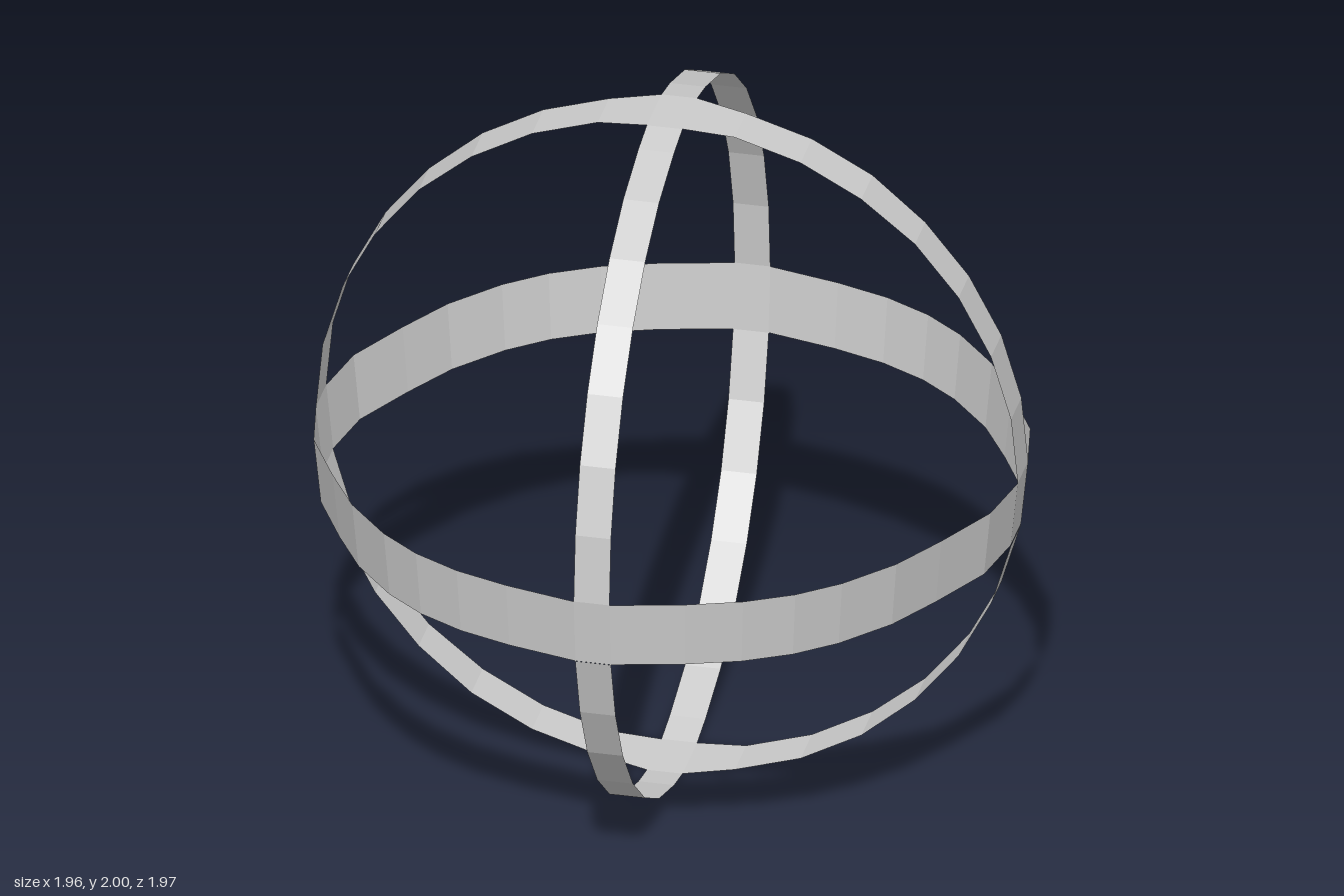
import * as THREE from 'three';

const material = new THREE.MeshStandardMaterial({ color: 0xcccccc, flatShading: true, side: THREE.DoubleSide });
const HALF_X = 0.05;   // half width of the front-to-back hoop
const POLE_Z = 0.09;   // half width of the side-to-side hoop at the poles

// Faceted ribbon through successive [a, b] edge point pairs
function ribbon(name, pairs) {
  const positions = [];
  for (let i = 0; i < pairs.length - 1; i++) {
    const [a0, b0] = pairs[i], [a1, b1] = pairs[i + 1];
    positions.push(...a0, ...b0, ...a1, ...b0, ...b1, ...a1);
  }
  const geometry = new THREE.BufferGeometry();
  geometry.setAttribute('position', new THREE.Float32BufferAttribute(positions, 3));
  geometry.computeVertexNormals();
  const mesh = new THREE.Mesh(geometry, material);
  mesh.name = name;
  return mesh;
}

// Horizontal band: one quarter outline mirrored to a closed loop, narrower at the bottom
function equatorBand() {
  const quarter = [[0.05, 0.987], [0.25, 0.938], [0.4, 0.886], [0.53, 0.815], [0.64, 0.725],
    [0.76, 0.585], [0.85, 0.43], [0.945, 0.245], [0.98, 0.064]];
  const back = [...quarter].reverse();
  const loop = [
    ...quarter,
    ...back.map(([x, z]) => [x, -z]),
    ...quarter.map(([x, z]) => [-x, -z]),
    ...back.map(([x, z]) => [-x, z]),
  ];
  loop.push(loop[0]);
  return ribbon('equatorBand', loop.map(([x, z]) => [[x, 1, z], [x * 0.98, 0.805, z * 0.98]]));
}

// Vertical half hoops, from pole to pole, left open where the band fills the crossing
function hoop(name, radius, poleReach, halfWidth, place) {
  const group = new THREE.Group();
  group.name = name;
  for (const side of [1, -1]) {
    const pairs = [];
    for (let k = 0; k <= 16; k++) {
      const angle = k * Math.PI / 16;
      const reach = side * (k % 16 === 0 ? poleReach : radius * Math.sin(angle));
      const y = 1 + Math.cos(angle), w = side * halfWidth(k);
      pairs.push([place(reach, y, w), place(reach, y, -w)]);
    }
    group.add(ribbon('upperArc', pairs.slice(0, 9)), ribbon('lowerArc', pairs.slice(9)));
  }
  return group;
}

export function createModel() {
  const model = new THREE.Group();
  model.name = 'bandedSphere';
  model.add(equatorBand());

  // Side-to-side hoop flares towards the poles
  const flare = k => (k % 16 === 0 ? POLE_Z : Math.abs(k - 8) > 4 ? 0.07 : 0.064);
  model.add(hoop('sideHoop', 0.98, HALF_X, flare, (r, y, w) => [r, y, -w]));
  model.add(hoop('frontHoop', 0.987, POLE_Z, () => HALF_X, (r, y, w) => [w, y, r]));

  // Flat crossings at the top and bottom
  for (const [name, y, s] of [['topCrossing', 2, 1], ['bottomCrossing', 0, -1]]) {
    model.add(ribbon(name, [-POLE_Z, POLE_Z].map(z => [[s * HALF_X, y, z], [-s * HALF_X, y, z]])));
  }
  return model;
}
